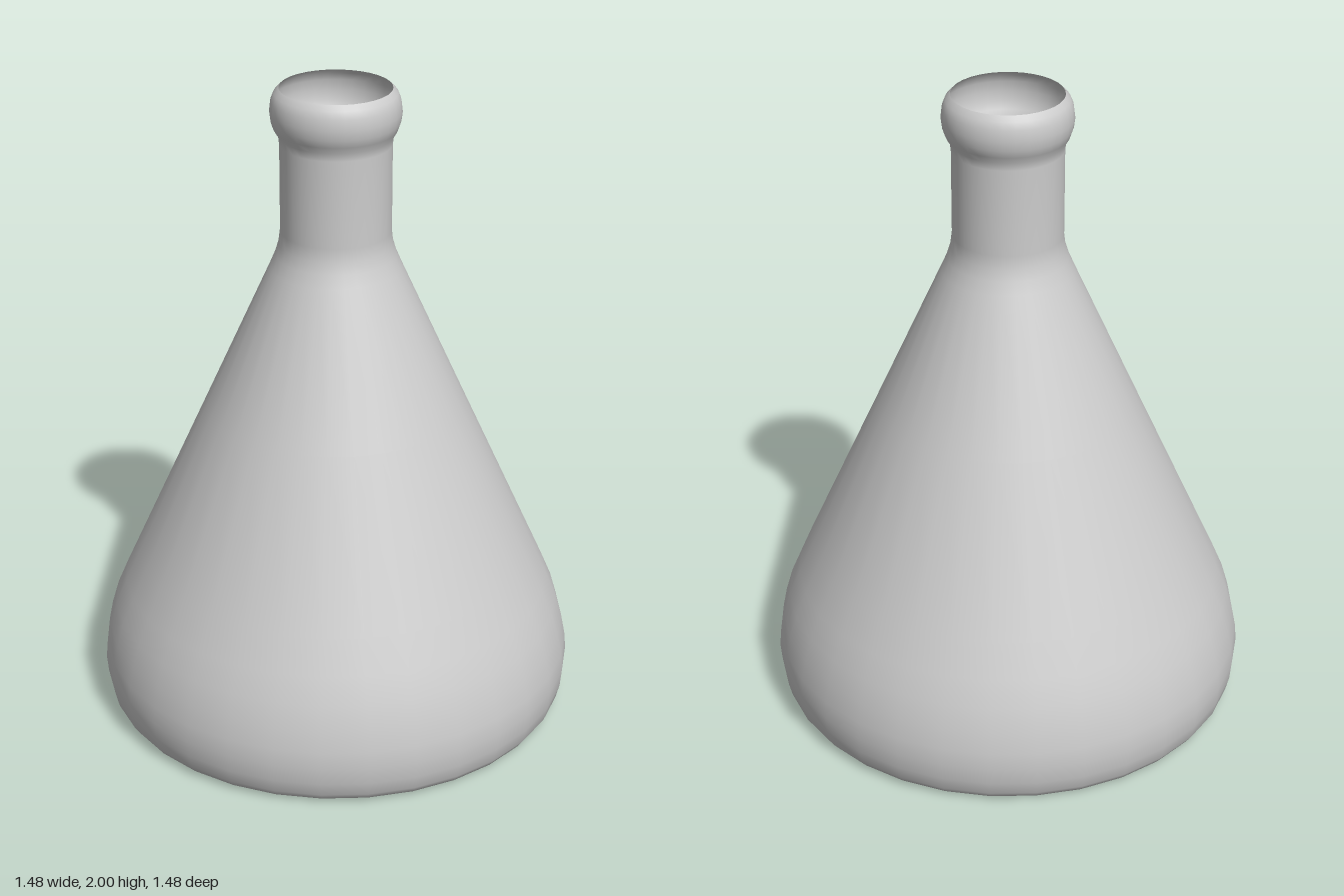
import * as THREE from 'three';

const SEGMENTS = 32;

// Turns a list of [radius, height] pairs around the y axis
function turn(name, profile, material) {
  const points = profile.map(([r, y]) => new THREE.Vector2(r, y));
  const mesh = new THREE.Mesh(new THREE.LatheGeometry(points, SEGMENTS), material);
  mesh.name = name;
  return mesh;
}

export function createModel() {
  const group = new THREE.Group();
  group.name = 'conicalFlask';
  const glass = new THREE.MeshStandardMaterial({ color: 0xcccccc, side: THREE.DoubleSide });
  const red = new THREE.MeshStandardMaterial({ color: 0xd4181c });

  // Thin open shell: flat base, rounded heel, cone, neck and rolled lip
  group.add(turn('flaskShell', [
    [0, 0], [0.67, 0], [0.688, 0.002], [0.708, 0.012], [0.724, 0.035],
    [0.735, 0.08], [0.74, 0.135], [0.735, 0.19], [0.722, 0.255], [0.7, 0.33],
    [0.666, 0.41], [0.62, 0.512], [0.4, 1.0], [0.2, 1.445],
    [0.183, 1.485], [0.172, 1.52], [0.167, 1.56], [0.167, 1.83],
    [0.17, 1.855], [0.183, 1.876], [0.191, 1.9], [0.195, 1.93],
    [0.191, 1.962], [0.182, 1.985], [0.167, 2.0],
  ], glass));

  // Liquid body, set just inside the shell
  group.add(turn('liquid', [
    [0, 0.015], [0.67, 0.015], [0.7, 0.04], [0.722, 0.135],
    [0.705, 0.255], [0.65, 0.41], [0.565, 0.6],
  ], red));

  // Flat liquid surface
  const surface = new THREE.Mesh(new THREE.CircleGeometry(0.565, SEGMENTS), red);
  surface.name = 'liquidSurface';
  surface.rotation.x = -Math.PI / 2;
  surface.position.y = 0.6;
  group.add(surface);

  return group;
}
